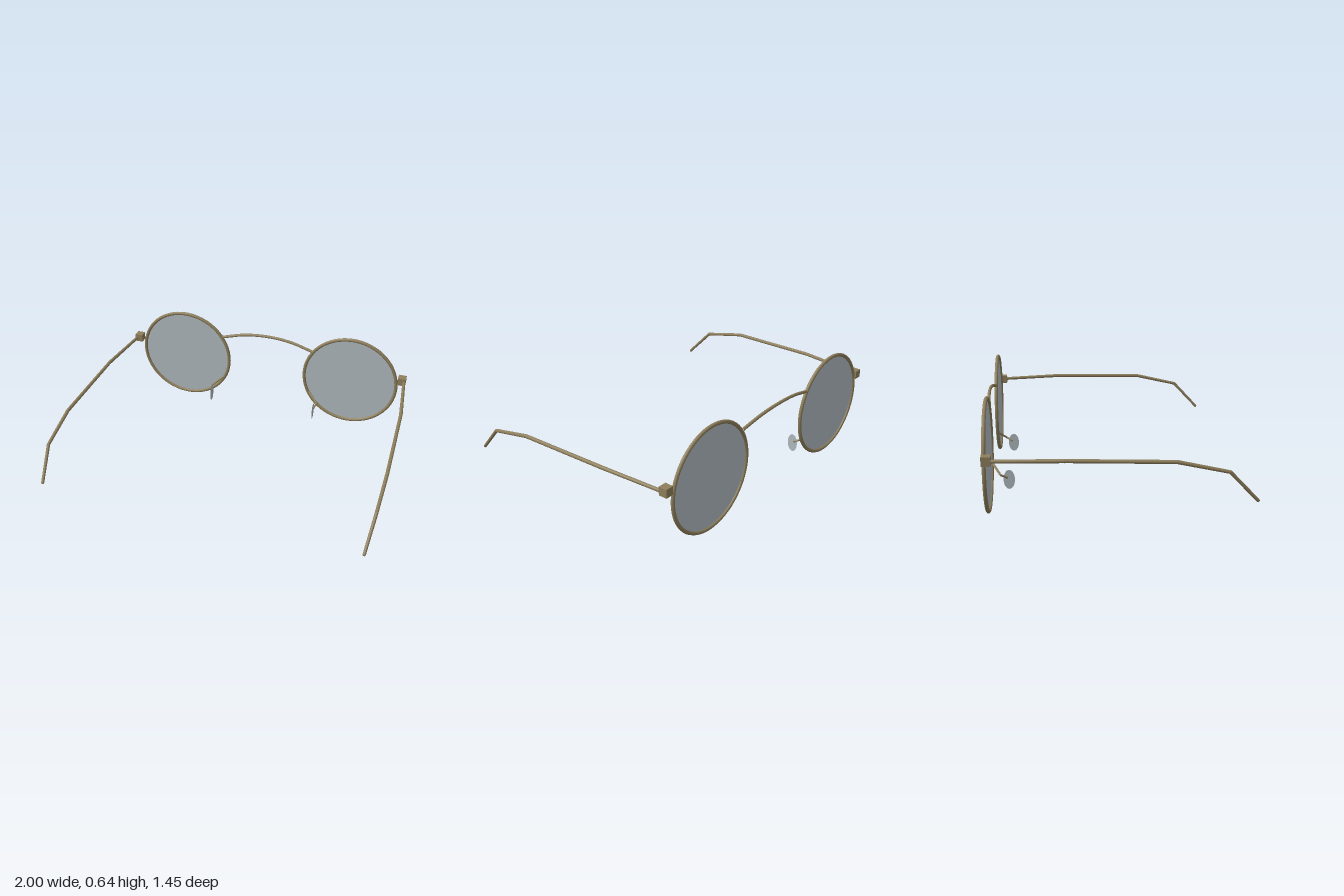
import * as THREE from 'three';

const V = (x, y, z) => new THREE.Vector3(x, y, z);

// Bent wire: straight tapered rods joined by small balls
function wire(name, points, radii, material) {
  const group = new THREE.Group();
  group.name = name;
  points.forEach((p, i) => {
    const ball = new THREE.Mesh(new THREE.SphereGeometry(radii[i], 10, 8), material);
    ball.name = name + 'Joint';
    ball.position.copy(p);
    group.add(ball);
    if (i === 0) return;
    const q = points[i - 1];
    const dir = p.clone().sub(q);
    const rod = new THREE.Mesh(
      new THREE.CylinderGeometry(radii[i], radii[i - 1], dir.length(), 10), material);
    rod.name = name + 'Rod';
    rod.position.copy(p).add(q).multiplyScalar(0.5);
    rod.quaternion.setFromUnitVectors(V(0, 1, 0), dir.normalize());
    group.add(rod);
  });
  return group;
}

export function createModel() {
  const model = new THREE.Group();
  model.name = 'roundSpectacles';
  const brass = new THREE.MeshStandardMaterial({ color: 0x8e7f5c });
  brass.name = 'agedBrass';
  const glass = new THREE.MeshStandardMaterial({ color: 0xb0babe, side: THREE.DoubleSide });
  glass.name = 'paleGreyGlass';

  const add = (name, geometry, material, x, y, z) => {
    const mesh = new THREE.Mesh(geometry, material);
    mesh.name = name;
    mesh.position.set(x, y, z);
    model.add(mesh);
    return mesh;
  };

  for (const [side, s] of [['left', 1], ['right', -1]]) {
    // Rim and lens
    add(side + 'Rim', new THREE.TorusGeometry(0.309, 0.011, 10, 64), brass, s * 0.575, 0.323, -0.7);
    add(side + 'Lens', new THREE.CircleGeometry(0.309, 64), glass, s * 0.575, 0.323, -0.7);

    // Hinge block
    add(side + 'Hinge', new THREE.BoxGeometry(0.05, 0.05, 0.05), brass, s * 0.918, 0.404, -0.685);

    // Temple arm, bent down behind the ear
    model.add(wire(side + 'Temple', [
      V(s * 0.932, 0.402, -0.68), V(s * 0.972, 0.41, -0.29), V(s * 0.988, 0.397, 0.28),
      V(s * 0.983, 0.335, 0.555), V(s * 0.962, 0.168, 0.712),
    ], [0.01, 0.011, 0.011, 0.01, 0.009], brass));

    // Nose pad on its bent arm
    model.add(wire(side + 'PadArm', [
      V(s * 0.303, 0.187, -0.7), V(s * 0.375, 0.132, -0.648), V(s * 0.362, 0.112, -0.612),
    ], [0.007, 0.006, 0.006], brass));
    const pad = add(side + 'NosePad', new THREE.CircleGeometry(1, 32), glass, s * 0.362, 0.1, -0.6);
    pad.scale.set(0.033, 0.058, 1);
    pad.rotation.y = s * -Math.PI / 2;
  }

  // Arched bridge between the rims
  const arch = new THREE.CatmullRomCurve3([
    V(-0.31, 0.5, -0.7), V(-0.16, 0.535, -0.713), V(0, 0.547, -0.718),
    V(0.16, 0.535, -0.713), V(0.31, 0.5, -0.7),
  ]);
  add('bridge', new THREE.TubeGeometry(arch, 40, 0.0095, 10), brass, 0, 0, 0);

  return model;
}
